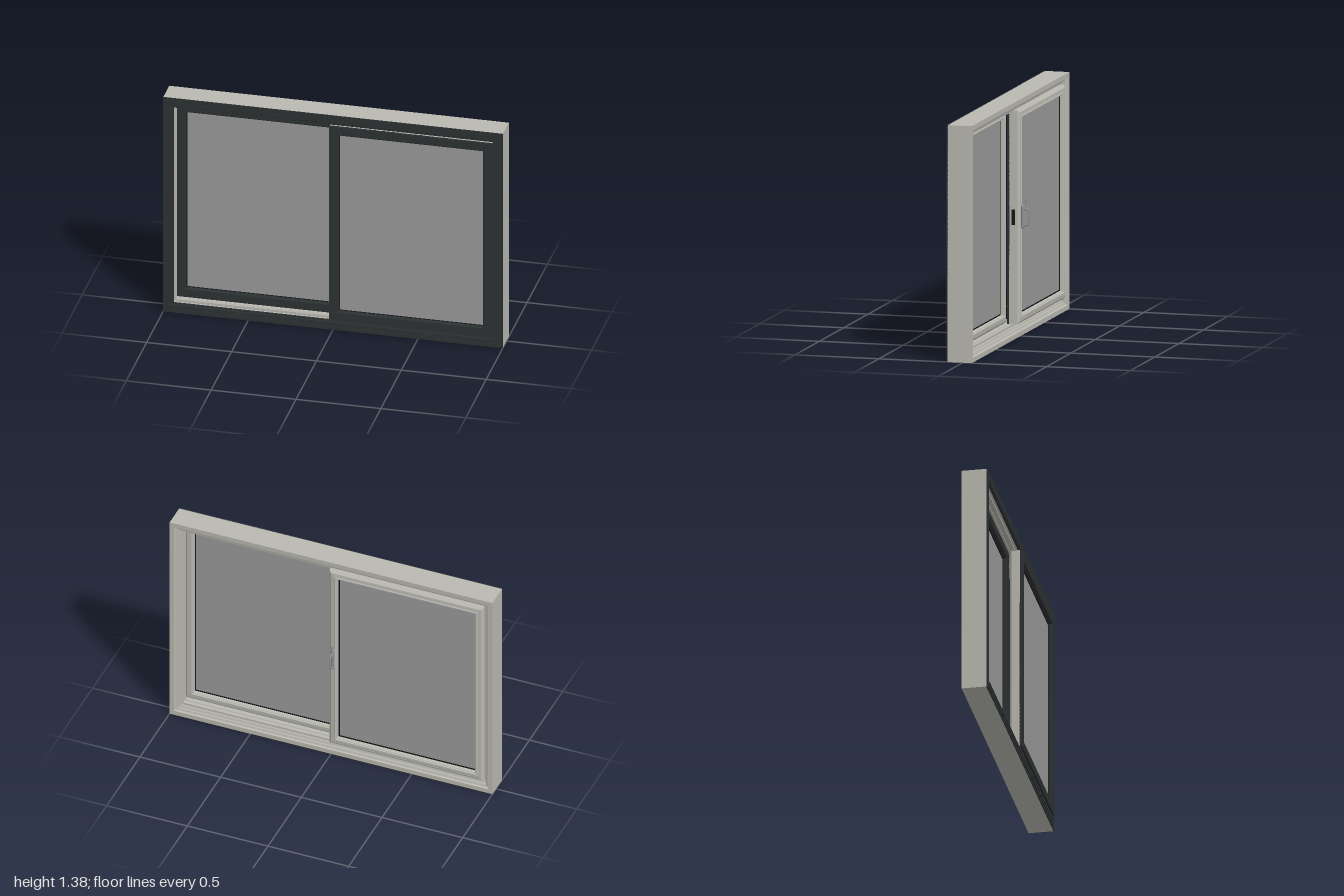
import * as THREE from 'three';

const mat = (color) => new THREE.MeshStandardMaterial({ color });

// Sweeps a closed [inset, z] profile around a rectangle with mitred corners.
// The profile runs outer wall -> front -> inner wall -> back.
function ring(name, [x0, x1, y0, y1], profile, material) {
  const pos = [];
  const corner = ([d, z], i) => [
    [x0 + d, y0 + d, z], [x1 - d, y0 + d, z], [x1 - d, y1 - d, z], [x0 + d, y1 - d, z],
  ][i % 4];
  profile.forEach((a, k) => {
    const b = profile[(k + 1) % profile.length];
    for (let i = 0; i < 4; i++) {
      const p = corner(a, i), q = corner(a, i + 1), r = corner(b, i + 1), s = corner(b, i);
      pos.push(...p, ...q, ...r, ...p, ...r, ...s);
    }
  });
  const geo = new THREE.BufferGeometry();
  geo.setAttribute('position', new THREE.Float32BufferAttribute(pos, 3));
  geo.computeVertexNormals();
  const mesh = new THREE.Mesh(geo, material);
  mesh.name = name;
  return mesh;
}

function box(name, w, h, d, x, y, z, material) {
  const mesh = new THREE.Mesh(new THREE.BoxGeometry(w, h, d), material);
  mesh.position.set(x, y, z);
  mesh.name = name;
  return mesh;
}

export function createModel() {
  const model = new THREE.Group();
  model.name = 'slidingWindow';
  const light = mat(0xb9b8b0), dark = mat(0x2c3133), black = mat(0x151617);
  const glass = mat(0x9a9a9a), steel = mat(0x8c9196);
  const H = 1.375;
  const outer = [-1, 1, 0, H];

  // Fixed frame: light body with a stepped room-side lip, dark outside cladding
  const frame = new THREE.Group();
  frame.name = 'frame';
  frame.add(
    ring('frameBody', outer, [
      [0, -0.055], [0, 0.09], [0.058, 0.09], [0.058, 0.035], [0.064, 0.033], [0.064, 0.024],
      [0.058, 0.022], [0.058, -0.026], [0.045, -0.03], [0.045, -0.04], [0.032, -0.044], [0.028, -0.055],
    ], light),
    ring('frameCladding', outer, [
      [0, 0.088], [0, 0.095], [0.05, 0.095], [0.053, 0.092], [0.06, 0.092], [0.06, 0.08], [0.05, 0.08], [0.05, 0.088],
    ], dark),
  );
  // Tracks on the sill and head
  for (const z of [0.062, -0.012]) {
    frame.add(box('sillTrack', 1.87, 0.016, 0.008, 0, 0.064, z, light));
    frame.add(box('headTrack', 1.87, 0.012, 0.008, 0, H - 0.062, z, light));
  }
  // Sill ribs and drain covers
  for (const y of [0.02, 0.047]) frame.add(box('sillRib', 1.9, 0.006, 0.006, 0, y, 0.096, dark));
  for (const x of [-0.56, 0.56]) frame.add(box('drainCover', 0.04, 0.02, 0.014, x, 0.03, 0.1, dark));
  model.add(frame);

  // Sash: dark outside face, light bevelled room side, gasket and pane
  function sash(name, x0, x1, zBack) {
    const g = new THREE.Group();
    g.name = name;
    const rect = [x0, x1, 0.07, 1.31];
    g.add(
      ring('sashBody', rect, [
        [0, 0.017], [0, 0.066], [0.052, 0.066], [0.052, 0.022], [0.049, 0.008], [0.044, 0.006],
        [0.042, 0], [0.036, 0], [0.034, 0.004], [0.012, 0.006],
      ], light),
      ring('sashCladding', rect, [
        [0, 0.064], [0, 0.079], [0.049, 0.079], [0.055, 0.073], [0.055, 0.05], [0.05, 0.05], [0.05, 0.064],
      ], dark),
      ring('gasket', rect, [
        [0.048, 0.026], [0.048, 0.056], [0.058, 0.056], [0.058, 0.026],
      ], black),
      box('pane', x1 - x0 - 0.1, 1.14, 0.022, (x0 + x1) / 2, 0.69, 0.041, glass),
    );
    g.position.z = zBack;
    model.add(g);
  }
  sash('outerSash', -0.02, 0.94, 0.028);
  sash('innerSash', -0.94, 0.015, -0.057);

  // Striker plate on the edge of the inner sash
  model.add(box('striker', 0.004, 0.09, 0.02, 0.016, 0.69, -0.015, black));

  // Pull handle on the meeting stile
  const handle = new THREE.Group();
  handle.name = 'handle';
  const plate = new THREE.Mesh(new THREE.CapsuleGeometry(0.011, 0.116, 6, 16), steel);
  plate.name = 'handlePlate';
  plate.scale.z = 0.8;
  plate.position.set(0, 0.69, -0.063);
  const path = new THREE.CurvePath();
  const pts = [[0.74, -0.064], [0.73, -0.098], [0.722, -0.102], [0.655, -0.102], [0.647, -0.098], [0.637, -0.064]]
    .map(([y, z]) => new THREE.Vector3(0, y, z));
  pts.slice(1).forEach((p, i) => path.add(new THREE.LineCurve3(pts[i], p)));
  const grip = new THREE.Mesh(new THREE.TubeGeometry(path, 48, 0.005, 10), steel);
  grip.name = 'grip';
  const lever = new THREE.Mesh(new THREE.CapsuleGeometry(0.007, 0.026, 5, 12), steel);
  lever.name = 'latchLever';
  lever.position.set(0, 0.784, -0.083);
  handle.add(plate, grip, lever);
  handle.position.x = -0.015;
  model.add(handle);

  return model;
}
